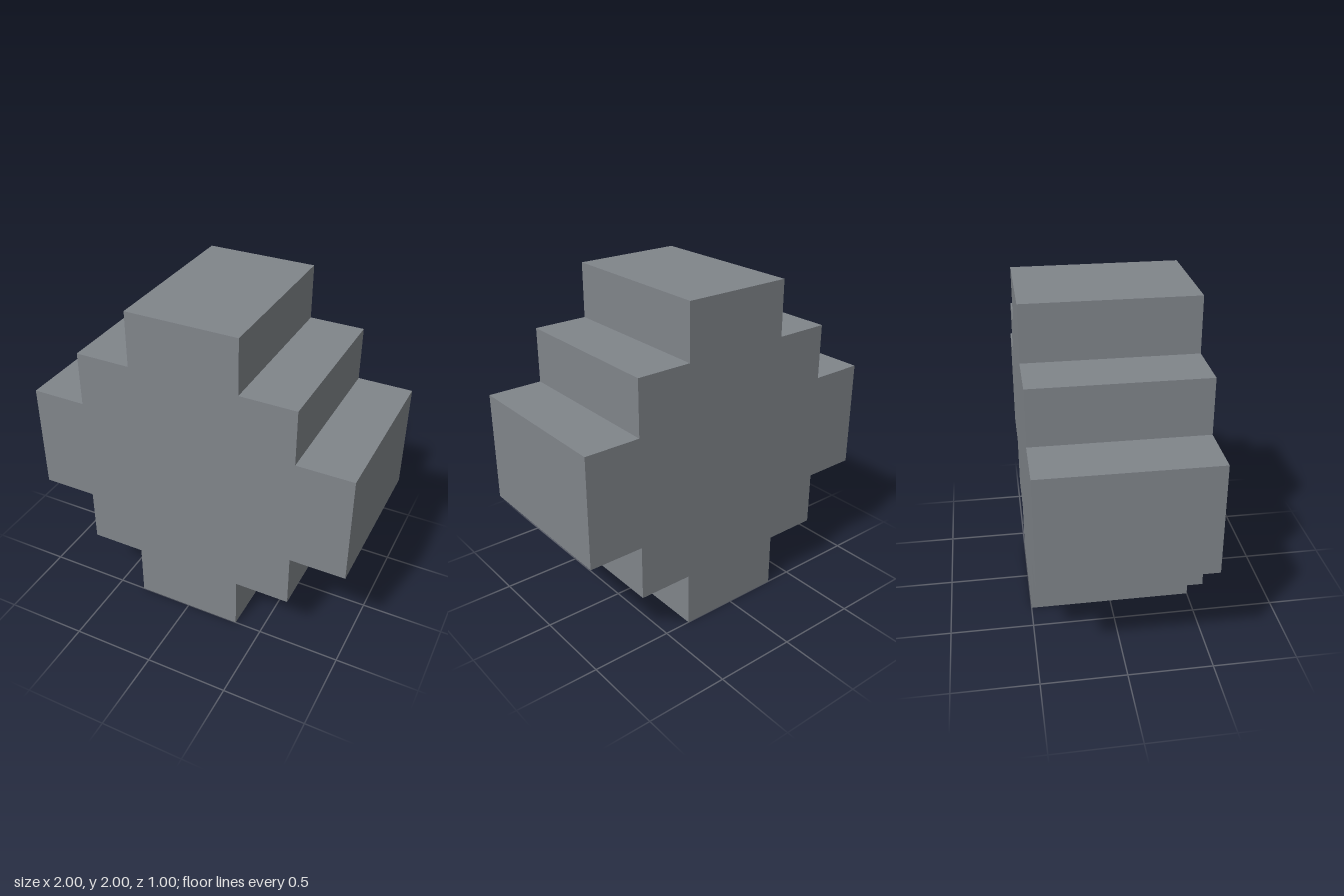
import * as THREE from 'three';

export function createModel() {
  const model = new THREE.Group();
  model.name = 'steppedBlock';
  const grey = new THREE.MeshStandardMaterial({ color: 0x80858a });
  grey.name = 'slate grey';

  // One quadrant of the stepped outline, turned four times around the centre
  const step = 1 / 3;
  const quadrant = [[3, 1], [2, 1], [2, 2], [1, 2], [1, 3]];
  const outline = [];
  for (let turn = 0; turn < 4; turn++) {
    for (const [x, y] of quadrant) {
      outline.push(new THREE.Vector2(x * step, y * step)
        .rotateAround(new THREE.Vector2(), turn * Math.PI / 2));
    }
  }

  // Solid block, one unit deep
  const geometry = new THREE.ExtrudeGeometry(new THREE.Shape(outline), {
    depth: 1, bevelEnabled: false,
  });
  geometry.translate(0, 1, -0.5);
  const block = new THREE.Mesh(geometry, grey);
  block.name = 'steppedBody';
  model.add(block);
  return model;
}
